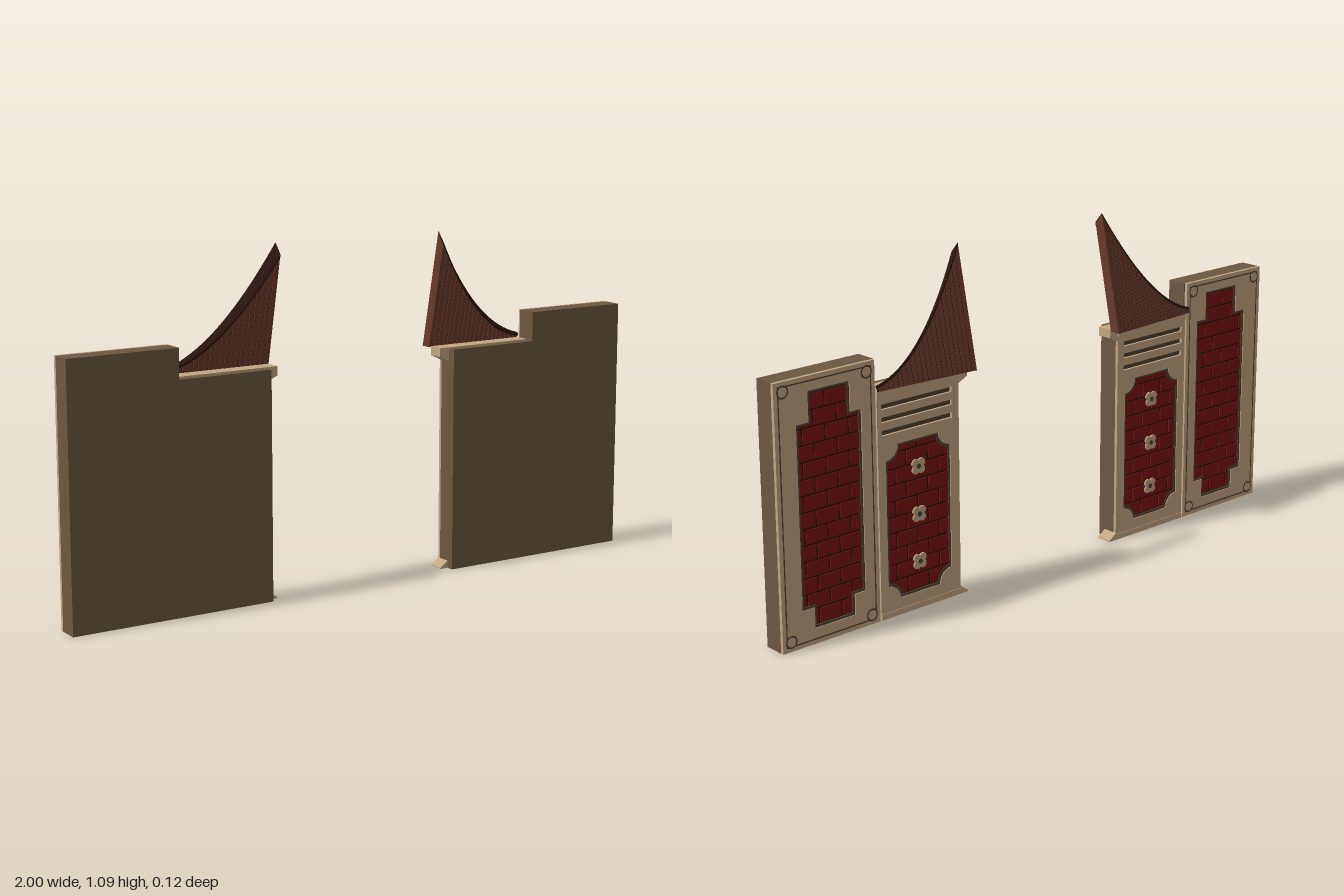
import * as THREE from 'three';
import { mergeGeometries } from 'three/addons/utils/BufferGeometryUtils.js';

const mat = (color, side = THREE.FrontSide) =>
  new THREE.MeshStandardMaterial({ color, flatShading: true, side });

// Box given by its corner limits
function box(x0, x1, y0, y1, z0, z1) {
  return new THREE.BoxGeometry(x1 - x0, y1 - y0, z1 - z0)
    .translate((x0 + x1) / 2, (y0 + y1) / 2, (z0 + z1) / 2);
}
// Outline extruded between two depths
function prism(shape, z0, z1) {
  return new THREE.ExtrudeGeometry(shape, { depth: z1 - z0, bevelEnabled: false, curveSegments: 8 })
    .translate(0, 0, z0);
}
const poly = (pts) => new THREE.Shape(pts.map(([x, y]) => new THREE.Vector2(x, y)));
const rect = (x0, x1, y0, y1) => poly([[x0, y0], [x1, y0], [x1, y1], [x0, y1]]);
const merge = (list) => mergeGeometries(list.map((g) => (g.index ? g.toNonIndexed() : g)));

// Mirrored copy across x = 0, keeping faces outward
function mirror(geo) {
  const g = geo.index ? geo.toNonIndexed() : geo.clone();
  const p = g.attributes.position;
  const v = [0, 1, 2].map(() => new THREE.Vector3());
  for (let i = 0; i < p.count; i += 3) {
    v.forEach((q, k) => q.fromBufferAttribute(p, i + k));
    [0, 2, 1].forEach((k, j) => p.setXYZ(i + j, -v[k].x, v[k].y, v[k].z));
  }
  g.computeVertexNormals();
  return g;
}

// Stepped outline of the tall brick panel, grown by e
function steppedOutline(e) {
  const [a, b, c, d] = [0.705 - e, 0.745 - e, 0.877 + e, 0.92 + e];
  const [p, q, r, s] = [0.055 - e, 0.12 - e, 0.665 + e, 0.757 + e];
  return poly([[b, p], [c, p], [c, q], [d, q], [d, r], [c, r],
    [c, s], [b, s], [b, r], [a, r], [a, q], [b, q]]);
}
// Rectangle with scooped corners, grown by e
function scoopedOutline(e) {
  const x0 = 0.375 - e, x1 = 0.605 + e, y0 = 0.06 - e, y1 = 0.53 + e, r = 0.045, H = Math.PI / 2;
  const s = new THREE.Shape();
  s.moveTo(x0 + r, y0);
  s.lineTo(x1 - r, y0);
  s.absarc(x1, y0, r, 2 * H, H, true);
  s.lineTo(x1, y1 - r);
  s.absarc(x1, y1, r, 3 * H, 2 * H, true);
  s.lineTo(x0 + r, y1);
  s.absarc(x0, y1, r, 4 * H, 3 * H, true);
  s.lineTo(x0, y0 + r);
  s.absarc(x0, y0, r, H, 0, true);
  return s;
}
// Running-bond bricks filling a rectangle
function bricks(x0, x1, y0, y1) {
  const list = [], w = 0.082, h = 0.05, gap = 0.0035;
  for (let y = y0, row = 0; y < y1 - 0.005; y += h, row++) {
    for (let x = x0 - (row % 2) * w / 2; x < x1; x += w) {
      const a = Math.max(x + gap, x0), b = Math.min(x + w - gap, x1);
      if (b - a > 0.004) list.push(box(a, b, y + gap, Math.min(y + h - gap, y1), -0.012, -0.006));
    }
  }
  return merge(list);
}

// Roof: height of the sweeping edge at x
const IN = 0.295, OUT = 0.645, BASE = 0.714;
function roofTop(x) {
  const t = (OUT - x) / (OUT - IN);
  return 0.73 + 0.09 * t + 0.265 * t * t;
}
// Leaning slab between x0 and x1; inset thins it, cap keeps only a strip along its top
function roofSlab(x0, x1, inset, cap = false) {
  const g = new THREE.BoxGeometry(1, 1, 1), p = g.attributes.position;
  for (let i = 0; i < p.count; i++) {
    const x = p.getX(i) < 0 ? x0 : x1, front = p.getZ(i) > 0, up = p.getY(i) > 0;
    const t = (OUT - x) / (OUT - IN);
    const top = roofTop(x) - (front ? 0.03 * t + 0.004 : 0) - inset;
    const y = up ? top + (cap ? 0.002 : 0) : (cap ? top - 0.007 : BASE);
    const zBase = front ? -0.022 - inset : -0.031 - 0.026 * t + inset * 0.4;
    p.setXYZ(i, x, y, zBase + 0.218 * (y - BASE));
  }
  return g;
}

export function createModel() {
  const root = new THREE.Group();
  root.name = 'gateWalls';
  const left = new THREE.Group(), right = new THREE.Group();
  left.name = 'leftWall';
  right.name = 'rightWall';
  root.add(left, right);

  const brown = mat(0x6b5841), beige = mat(0xc4a680), dark = mat(0x4a4434);
  const mortar = mat(0x2a140e), red = mat(0x7a150d);
  const roofBrown = mat(0x6a392c, THREE.DoubleSide), roofDark = mat(0x2a1510, THREE.DoubleSide);

  function add(name, geo, material) {
    for (const [group, g] of [[left, geo], [right, mirror(geo)]]) {
      const m = new THREE.Mesh(g, material);
      m.name = name;
      group.add(m);
    }
  }

  // Stepped wall core
  add('wallBody', prism(poly([[0.333, 0], [1, 0], [1, 0.808], [0.643, 0.808],
    [0.643, 0.714], [0.333, 0.714]]), -0.006, 0.06), brown);

  // Brick panels seen through the facing plates
  add('mortar', merge([box(0.69, 0.94, 0.03, 0.78, -0.0085, -0.005),
    box(0.36, 0.62, 0.04, 0.55, -0.0085, -0.005)]), mortar);
  add('tallPanelBricks', bricks(0.7, 0.925, 0.055, 0.757), red);
  add('shortPanelBricks', bricks(0.37, 0.61, 0.06, 0.53), red);

  // Facing plates and the darker rims round their openings
  const plate = (shape, holes, z0, z1) => { shape.holes.push(...holes); return prism(shape, z0, z1); };
  const slots = [0.58, 0.62, 0.66].map((y) => rect(0.36, 0.625, y - 0.008, y + 0.008));
  add('outerFacing', plate(rect(0.647, 1, 0, 0.808), [steppedOutline(0.007)], -0.017, -0.006), beige);
  add('innerFacing', plate(rect(0.333, 0.641, 0, 0.714),
    [scoopedOutline(0.007), ...slots], -0.016, -0.006), beige);
  add('panelRims', merge([
    plate(steppedOutline(0.008), [steppedOutline(0)], -0.0145, -0.006),
    plate(scoopedOutline(0.008), [scoopedOutline(0)], -0.0135, -0.006)]), dark);
  add('slotBacks', box(0.355, 0.63, 0.57, 0.67, -0.008, -0.0055), dark);

  // Engraved border and corner rings on the outer facing
  const [bx0, bx1, by0, by1] = [0.66, 0.987, 0.013, 0.795];
  add('outerBorder', plate(rect(bx0, bx1, by0, by1),
    [rect(bx0 + 0.004, bx1 - 0.004, by0 + 0.004, by1 - 0.004)], -0.0175, -0.016), dark);
  const rings = [], bosses = [];
  for (const x of [bx0 + 0.017, bx1 - 0.017]) {
    for (const y of [by0 + 0.017, by1 - 0.017]) {
      rings.push(new THREE.CylinderGeometry(0.02, 0.02, 0.002, 16).rotateX(Math.PI / 2).translate(x, y, -0.0172));
      bosses.push(new THREE.CylinderGeometry(0.015, 0.015, 0.003, 16).rotateX(Math.PI / 2).translate(x, y, -0.0175));
    }
  }
  add('cornerRings', merge(rings), dark);
  add('cornerBosses', merge(bosses), beige);

  // Four-petal rosettes down the short panel
  const petals = [], centres = [];
  for (const y of [0.15, 0.3, 0.45]) {
    for (let k = 0; k < 4; k++) {
      const a = (k + 0.5) * Math.PI / 2;
      petals.push(new THREE.CylinderGeometry(0.0135, 0.0135, 0.007, 10).rotateX(Math.PI / 2)
        .translate(0.49 + 0.015 * Math.cos(a), y + 0.015 * Math.sin(a), -0.0135));
    }
    centres.push(new THREE.CylinderGeometry(0.008, 0.008, 0.008, 10).rotateX(Math.PI / 2)
      .translate(0.49, y, -0.0138));
  }
  add('rosettes', merge(petals), beige);
  add('rosetteCentres', merge(centres), dark);

  // Cornice and foot jutting out at the inner end
  add('cornice', prism(poly([[0.335, 0.672], [0.335, 0.716], [0.298, 0.716], [0.298, 0.69]]), -0.016, 0.035), beige);
  add('corniceTop', box(0.298, 0.641, 0.712, 0.718, -0.016, 0.035), beige);
  add('corniceBand', box(0.333, 0.641, 0.69, 0.716, -0.019, -0.015), beige);
  add('foot', prism(poly([[0.335, 0], [0.335, 0.025], [0.305, 0.004], [0.305, 0]]), -0.017, 0.035), beige);
  add('footBand', box(0.333, 0.641, 0, 0.018, -0.018, -0.015), beige);

  // Sweeping roof: ribs over a recessed dark core, with a cap on the edge
  const ribs = [], core = [], cap = [], n = 20, step = (OUT - IN) / n;
  for (let i = 0; i < n; i++) {
    const x0 = IN + i * step, x1 = x0 + step;
    ribs.push(roofSlab(x0, x1 - 0.003, 0));
    core.push(roofSlab(x1 - 0.003, x1, 0.003));
    cap.push(roofSlab(x0, x1, -0.001, true));
  }
  add('roofRibs', merge(ribs), roofBrown);
  add('roofGrooves', merge(core), roofDark);
  add('roofCap', merge(cap), roofDark);
  return root;
}
